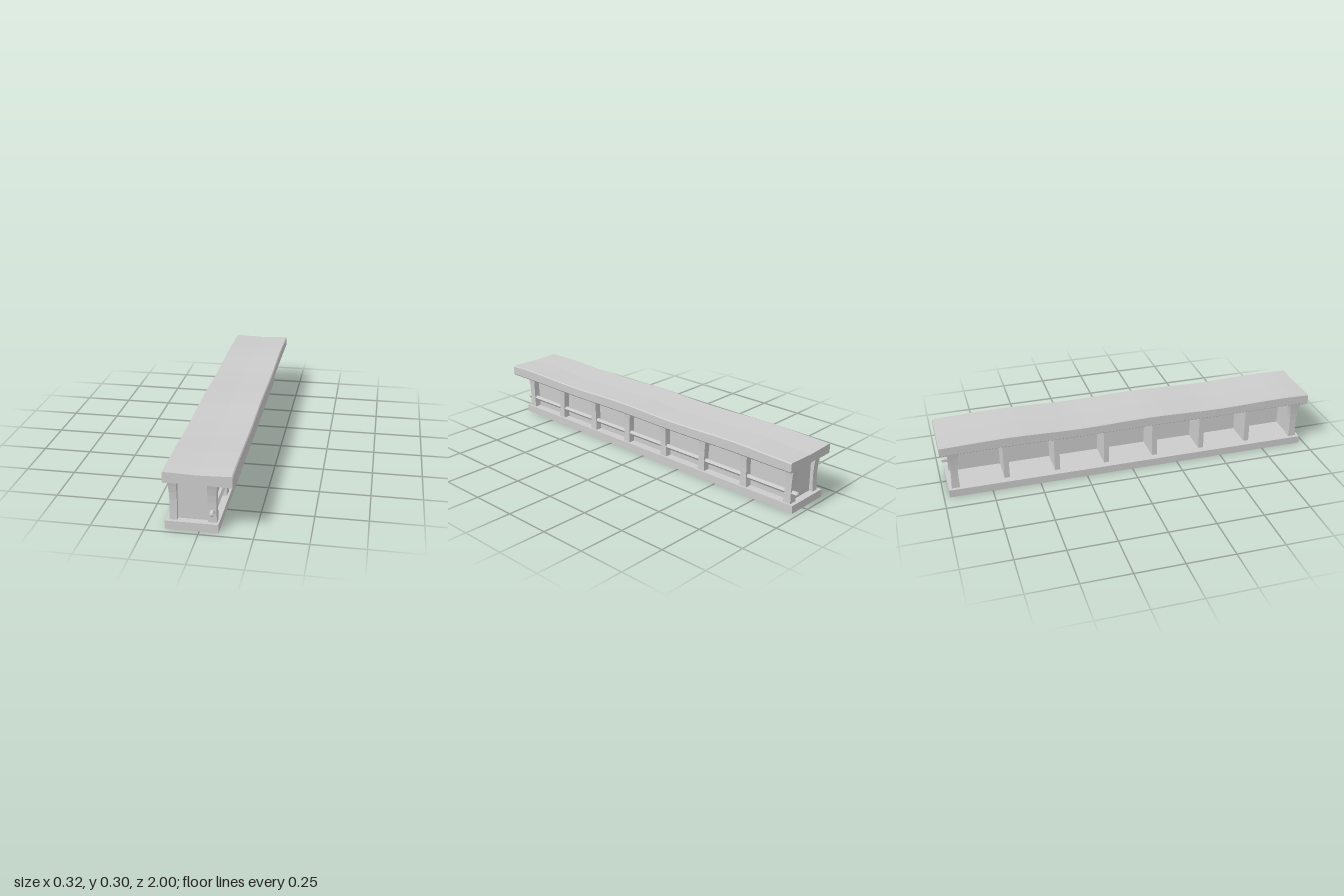
import * as THREE from 'three';

const mat = new THREE.MeshStandardMaterial({ color: 0xcccccc, flatShading: true, side: THREE.DoubleSide });

// Moves every vertex of a geometry by a rule
function warp(geo, rule) {
  const p = geo.attributes.position, v = new THREE.Vector3();
  for (let i = 0; i < p.count; i++) {
    rule(v.fromBufferAttribute(p, i));
    p.setXYZ(i, v.x, v.y, v.z);
  }
  geo.computeVertexNormals();
  return geo;
}

// Box given by its lower and upper corners
function block(x0, x1, y0, y1, z0, z1, sy = 1, sz = 1) {
  return new THREE.BoxGeometry(x1 - x0, y1 - y0, z1 - z0, 1, sy, sz)
    .translate((x0 + x1) / 2, (y0 + y1) / 2, (z0 + z1) / 2);
}

// Chamfered outline pulled along z, optionally open in the middle
function slab(points, hole, length, steps) {
  const shape = new THREE.Shape(points.map(([x, y]) => new THREE.Vector2(x, y)));
  if (hole) shape.holes.push(new THREE.Path(hole.map(([x, y]) => new THREE.Vector2(x, y))));
  return new THREE.ExtrudeGeometry(shape, { depth: length, steps, bevelEnabled: false })
    .translate(0, 0, -length / 2);
}

export function createModel() {
  const group = new THREE.Group();
  const add = (name, geo) => {
    const mesh = new THREE.Mesh(geo, mat);
    mesh.name = name;
    group.add(mesh);
  };

  // Worn counter top: chamfered edges, shallow dip along the middle, gentle waves
  const w = 0.158, c = 0.005;
  const top = slab([
    [-w + c, 0.245], [0, 0.247], [w - c, 0.243], [w, 0.249], [w, 0.294],
    [w - c, 0.299], [0, 0.294], [-w + c, 0.299], [-w, 0.294], [-w, 0.249],
  ], null, 2, 24);
  add('counterTop', warp(top, (v) => {
    const wave = Math.cos((2 * Math.PI * (v.z - 0.85)) / 0.75);
    v.y += wave * (v.y > 0.27 ? 0.004 : 0.0015);
    if (Math.abs(v.z) > 0.999) v.y += v.y > 0.27 ? -0.001 : 0.001;
  }));

  // Plinth: a hollow tray turned upside down
  const deck = block(-0.158, 0.088, 0.037, 0.041, -0.972, 0.972);
  add('plinthDeck', deck);
  const t = 0.008;
  add('plinthFrontSide', block(0.088 - t, 0.088, 0, 0.038, -0.972, 0.972));
  add('plinthBackSide', block(-0.158, -0.158 + t, 0, 0.038, -0.972, 0.972));
  for (const s of [-1, 1]) {
    add('plinthEnd', block(-0.158 + t, 0.088 - t, 0, 0.038, s * 0.968 - 0.004, s * 0.968 + 0.004));
  }

  // Panels closing the customer side and both ends
  add('frontPanel', block(0.03, 0.042, 0.036, 0.248, -0.935, 0.935));
  for (const s of [-1, 1]) {
    add('endPanel', block(-0.125, 0.05, 0.036, 0.248, s * 0.928 - 0.007, s * 0.928 + 0.007));
  }

  // Flared post: narrow at the waist, wider at head and foot
  const flare = (y) => {
    const k = (y - 0.13) / 0.115;
    return k > 0 ? k * k : 0.4 * k * k;
  };
  function post(name, inner, outer, z, lean) {
    const geo = block(inner, outer, 0.036, 0.249, z - 0.018, z + 0.018, 6);
    add(name, warp(geo, (v) => {
      const f = flare(v.y);
      if (Math.abs(v.x - outer) < 1e-6) v.x += Math.sign(outer) * 0.008 * f;
      v.z += Math.sign(v.z - z) * 0.013 * f + lean * (v.y - 0.14);
    }));
  }

  // Eight front posts with dividers behind the inner six
  const spacing = 0.267;
  for (let i = 0; i < 8; i++) {
    const z = (i - 3.5) * spacing;
    post('frontPost', 0.036, 0.076, z, i % 2 ? 0.03 : -0.03);
    if (i > 0 && i < 7) add('divider', block(-0.118, 0.034, 0.034, 0.248, z - 0.014, z + 0.014));
  }
  for (const s of [-1, 1]) post('backCornerPost', -0.104, -0.138, s * 3.5 * spacing, 0);

  // Five-sided foot rail with blunt pointed ends
  const rail = [[0, -0.985], [0.012, -0.98], [0.0135, -0.97], [0.0135, 0.97], [0.012, 0.98], [0, 0.985]]
    .map(([r, y]) => new THREE.Vector2(r, y));
  add('footRail', new THREE.LatheGeometry(rail, 5, Math.PI / 2).rotateX(Math.PI / 2).translate(0.06, 0.094, 0));

  return group;
}
